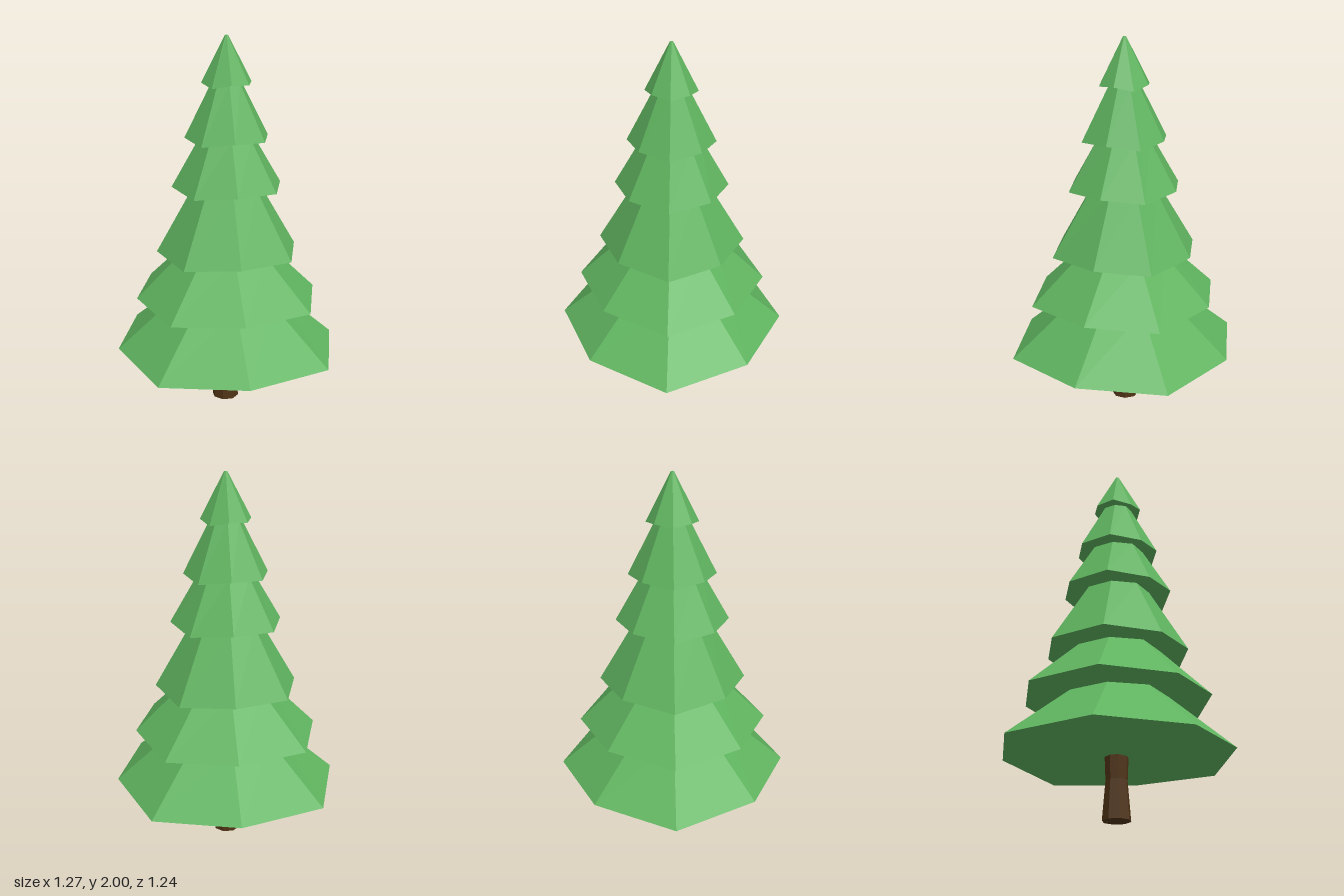
import * as THREE from 'three';

// Triangles between stacked rings of points, with a fan to a centre at each end
function loft(rings, bottom, top) {
  const pos = [];
  const tri = (a, b, c) => pos.push(...a, ...b, ...c);
  const n = rings[0].length;
  for (let i = 0; i < n; i++) {
    const j = (i + 1) % n;
    for (let k = 0; k < rings.length - 1; k++) {
      const lo = rings[k], hi = rings[k + 1];
      tri(lo[i], hi[j], hi[i]);
      tri(lo[i], lo[j], hi[j]);
    }
    tri(bottom, rings[0][j], rings[0][i]);
    const last = rings[rings.length - 1];
    tri(top, last[i], last[j]);
  }
  const geo = new THREE.BufferGeometry();
  geo.setAttribute('position', new THREE.Float32BufferAttribute(pos, 3));
  geo.computeVertexNormals();
  return geo;
}

// Slightly uneven octagon: corners on the axes reach further, diagonal corners lift
function octagon(rx, rz, rd, yx, yz, yd) {
  return Array.from({ length: 8 }, (_, i) => {
    const a = -i * Math.PI / 4;
    const c = Math.round(Math.cos(a)), s = Math.round(Math.sin(a));
    if (c && s) return [c * rd, yd, s * rd];
    return c ? [c * rx, yx, 0] : [0, yz, s * rz];
  });
}

export function createModel() {
  const tree = new THREE.Group();
  tree.name = 'pineTree';
  const green = new THREE.MeshStandardMaterial({ color: 0x5fb35f, flatShading: true });
  const brown = new THREE.MeshStandardMaterial({ color: 0x4f3315, flatShading: true });

  // Tiers of branches: rim radii (x, z, diagonal), rim height, radius at the tier's top
  const tiers = [
    [0.635, 0.62, 0.422, 0.33, 0.285],
    [0.52, 0.507, 0.345, 0.617, 0.24],
    [0.40, 0.388, 0.265, 0.877, 0.185],
    [0.305, 0.295, 0.205, 1.226, 0.15],
    [0.232, 0.226, 0.155, 1.482, 0.083],
    [0.136, 0.132, 0.092, 1.76, 0.009],
  ];
  const rings = [];
  tiers.forEach(([rx, rz, rd, y, rTop], i) => {
    const yTop = i < tiers.length - 1 ? tiers[i + 1][3] + 0.005 : 2;
    rings.push(octagon(rx, rz, rd, y, y - 0.012, y + 0.008));
    rings.push(octagon(rTop, rTop * 0.97, rTop * 0.67, yTop, yTop, yTop));
  });
  const foliage = new THREE.Mesh(loft(rings, [0, 0.317, 0], [0, 2, 0]), green);
  foliage.name = 'foliage';
  tree.add(foliage);

  // Trunk: flared at the foot, narrow in the middle
  const profile = [[0, 0], [0.073, 0], [0.056, 0.2], [0.062, 0.34], [0, 0.34]]
    .map(([r, y]) => new THREE.Vector2(r, y));
  const trunk = new THREE.Mesh(new THREE.LatheGeometry(profile, 8, Math.PI / 8), brown);
  trunk.name = 'trunk';
  trunk.position.set(-0.006, 0, 0.002);
  tree.add(trunk);

  return tree;
}
